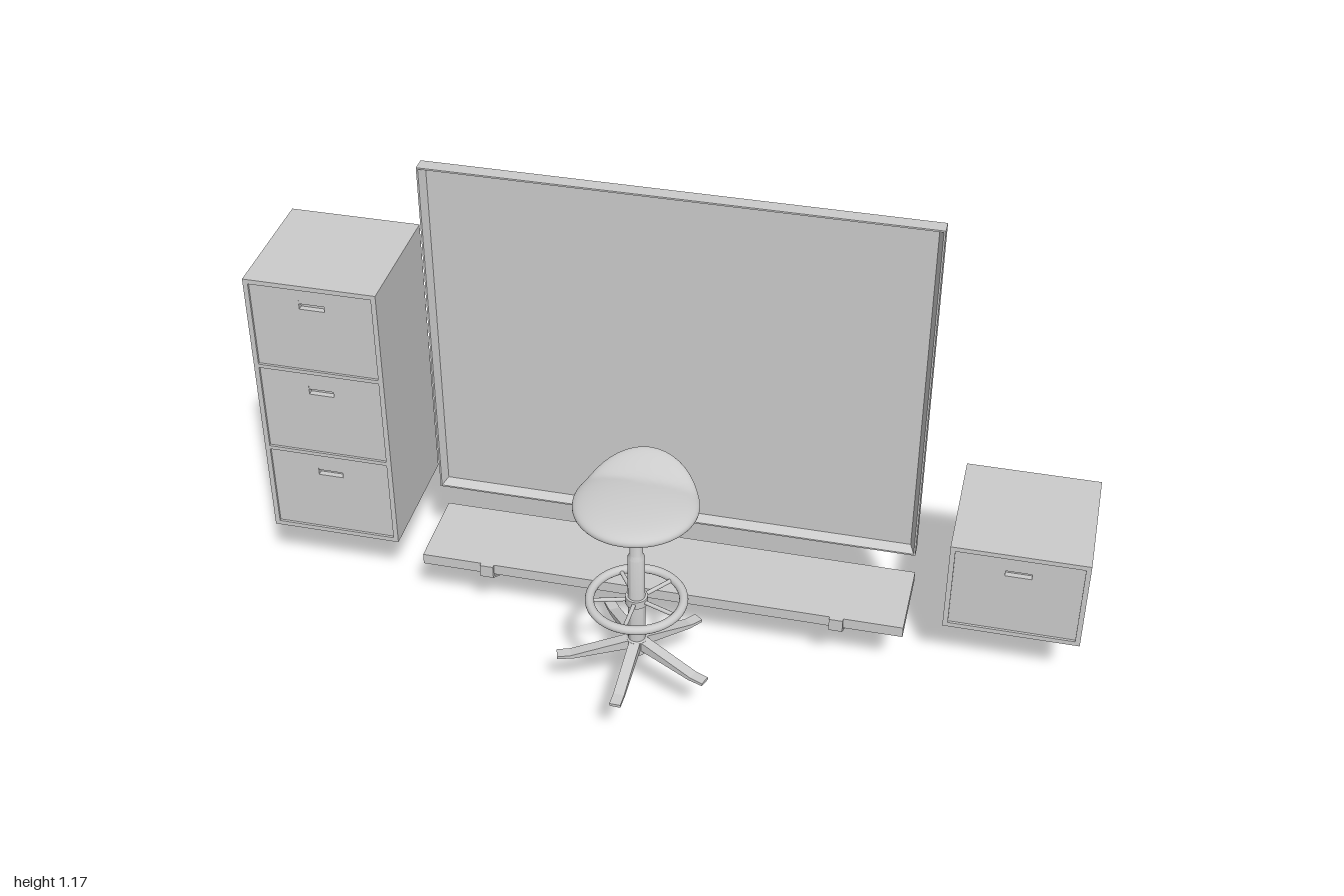
import * as THREE from 'three';
import { toCreasedNormals } from 'three/addons/utils/BufferGeometryUtils.js';

const material = new THREE.MeshStandardMaterial({ color: 0xcccccc, side: THREE.DoubleSide });

function add(parent, name, geometry) {
  const mesh = new THREE.Mesh(geometry, material);
  mesh.name = name;
  parent.add(mesh);
  return mesh;
}

function group(parent, name) {
  const g = new THREE.Group();
  g.name = name;
  parent.add(g);
  return g;
}

// Box given by its minimum and maximum corners
function block(parent, name, [x0, y0, z0], [x1, y1, z1]) {
  const mesh = add(parent, name, new THREE.BoxGeometry(x1 - x0, y1 - y0, z1 - z0));
  mesh.position.set((x0 + x1) / 2, (y0 + y1) / 2, (z0 + z1) / 2);
  return mesh;
}

function rectPoints(x0, y0, x1, y1) {
  return [[x0, y0], [x1, y0], [x1, y1], [x0, y1]].map(([x, y]) => new THREE.Vector2(x, y));
}

// Rectangular plate with a rectangular opening
function plateWithHole(outer, hole, depth) {
  const shape = new THREE.Shape(rectPoints(...outer));
  shape.holes.push(new THREE.Path(rectPoints(...hole)));
  return new THREE.ExtrudeGeometry(shape, { depth, bevelEnabled: false });
}

// Cabinet of stacked drawers, each with an inset front and a sunken pull
function cabinet(parent, name, x, drawers) {
  const g = group(parent, name);
  const w = 0.1615, h = 0.2423, front = -0.062, y0 = 0.163;
  block(g, 'carcass', [x - w, y0, -0.385], [x + w, y0 + drawers * h, front - 0.02]);
  for (let i = 0; i < drawers; i++) {
    const b = y0 + i * h, pull = b + 0.187;
    const m = i === 0 ? 0.012 : 0.005, t = i === drawers - 1 ? 0.012 : 0.005;
    const opening = [x - w + 0.012, b + m, x + w - 0.012, b + h - t];
    add(g, 'drawerSurround', plateWithHole([x - w, b, x + w, b + h], opening, 0.02)).position.z = front - 0.02;
    const slot = [x - 0.031, pull - 0.012, x + 0.031, pull + 0.012];
    add(g, 'drawerFront', plateWithHole(opening, slot, 0.014)).position.z = front - 0.02;
    block(g, 'drawerPull', [x - 0.031, pull + 0.002, front - 0.011], [x + 0.031, pull + 0.012, front - 0.007]);
  }
}

// Board with a mitred frame sloping in to the panel
function board(parent) {
  const g = group(parent, 'board');
  const x0 = -0.595, x1 = 0.59, y0 = 0.272, y1 = 1.175;
  block(g, 'boardPanel', [x0, y0, -0.205], [x1, y1, -0.193]);
  const rings = [[0, -0.193], [0, -0.171], [0.004, -0.171], [0.015, -0.193]];
  const corners = rings.map(([d, z]) =>
    rectPoints(x0 + d, y0 + d, x1 - d, y1 - d).map((p) => [p.x, p.y, z]));
  const pos = [];
  for (let r = 0; r < 3; r++) {
    for (let i = 0; i < 4; i++) {
      const j = (i + 1) % 4;
      const a = corners[r][i], b = corners[r][j], c = corners[r + 1][j], d = corners[r + 1][i];
      pos.push(...a, ...b, ...c, ...a, ...c, ...d);
    }
  }
  const geo = new THREE.BufferGeometry();
  geo.setAttribute('position', new THREE.Float32BufferAttribute(pos, 3));
  geo.computeVertexNormals();
  add(g, 'boardFrame', geo);
}

// Shelf on two triangular strip brackets
function shelf(parent) {
  const g = group(parent, 'wallShelf');
  block(g, 'shelfBoard', [-0.595, 0.152, -0.22], [0.59, 0.18, -0.012]);
  for (const x of [-0.431, 0.431]) {
    const b = group(g, 'bracket');
    const l = x - 0.0165, r = x + 0.0165;
    block(b, 'bracketLip', [l, 0.147, -0.012], [r, 0.18, -0.003]);
    block(b, 'bracketTop', [l, 0.147, -0.22], [r, 0.152, -0.003]);
    block(b, 'bracketUpright', [l, 0.004, -0.222], [r, 0.152, -0.217]);
    const dy = 0.144, dz = 0.215;
    const brace = add(b, 'bracketBrace', new THREE.BoxGeometry(0.033, 0.005, Math.hypot(dy, dz)));
    brace.position.set(x, 0.077, -0.112);
    brace.rotation.x = -Math.atan2(dy, dz);
  }
}

function stool(parent) {
  const g = group(parent, 'stool');
  g.position.set(-0.005, 0, 0.195);

  // Saddle seat: flattened sphere with its back edge swept up
  const seat = new THREE.SphereGeometry(1, 48, 32);
  const p = seat.attributes.position;
  for (let i = 0; i < p.count; i++) {
    const ny = p.getY(i), nz = p.getZ(i);
    const t = Math.max(0, (-nz - 0.4) / 0.6);
    const y = 0.602 + Math.sign(ny) * Math.abs(ny) ** 0.85 * (ny > 0 ? 0.031 : 0.027);
    p.setXYZ(i, p.getX(i) * 0.142, y + 0.054 * t ** 1.2, nz * 0.142 - 0.002);
  }
  seat.computeVertexNormals();
  add(g, 'seat', seat);

  // Telescopic column
  const profile = [[0, 0.175], [0.024, 0.175], [0.024, 0.212], [0.02, 0.215], [0.02, 0.455],
    [0.015, 0.465], [0.015, 0.585], [0, 0.585]].map(([r, y]) => new THREE.Vector2(r, y));
  add(g, 'column', toCreasedNormals(new THREE.LatheGeometry(profile, 32), 0.5));

  // Height lever under the seat
  const lever = new THREE.CatmullRomCurve3([
    new THREE.Vector3(0, 0.57, 0), new THREE.Vector3(0.07, 0.572, 0), new THREE.Vector3(0.115, 0.572, 0)]);
  add(g, 'lever', new THREE.TubeGeometry(lever, 12, 0.004, 10));

  // Foot ring with spokes
  const ring = add(g, 'footRing', new THREE.TorusGeometry(0.108, 0.0105, 14, 56));
  ring.rotation.x = Math.PI / 2;
  ring.position.y = 0.33;
  const collar = add(g, 'footRingCollar', new THREE.CylinderGeometry(0.026, 0.026, 0.02, 28));
  collar.position.y = 0.33;

  // Five splayed legs
  const side = new THREE.Shape([[0, 0.215], [0.025, 0.211], [0.155, 0.172], [0.187, 0.17], [0.187, 0.163],
    [0.15, 0.163], [0.02, 0.188], [0, 0.188]].map(([x, y]) => new THREE.Vector2(x, y)));
  const legGeo = new THREE.ExtrudeGeometry(side, { depth: 0.026, bevelEnabled: false });
  legGeo.translate(0, 0, -0.013);
  const spokeGeo = new THREE.CylinderGeometry(0.005, 0.005, 0.085, 10);
  spokeGeo.rotateZ(Math.PI / 2).translate(0.063, 0.33, 0);
  for (let i = 0; i < 5; i++) {
    const a = THREE.MathUtils.degToRad(72 * i - 2 - 90);
    add(g, 'leg', legGeo).rotation.y = a;
    add(g, 'footRingSpoke', spokeGeo).rotation.y = a;
  }
}

export function createModel() {
  const model = new THREE.Group();
  model.name = 'workspace';
  cabinet(model, 'tallCabinet', -0.8385, 3);
  cabinet(model, 'lowCabinet', 0.8385, 1);
  board(model);
  shelf(model);
  stool(model);
  return model;
}
